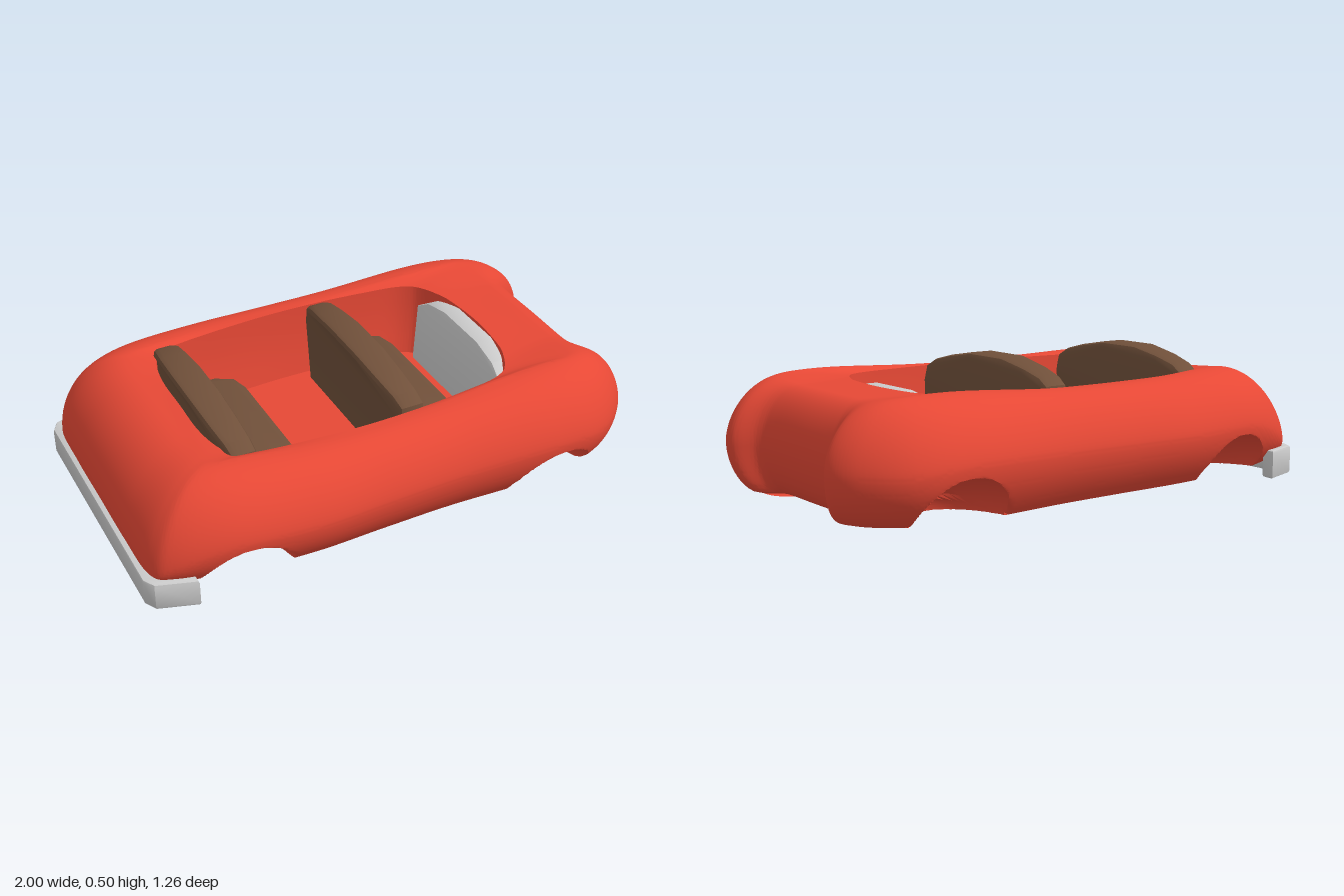
import * as THREE from 'three';
import { toCreasedNormals } from 'three/addons/utils/BufferGeometryUtils.js';

const red = new THREE.MeshStandardMaterial({ color: 0xe64835 });
const brown = new THREE.MeshStandardMaterial({ color: 0x70503a });
const grey = new THREE.MeshStandardMaterial({ color: 0xcccccc });

// Half plan from nose centre to tail centre:
// widest outline [x, z, y], fender crest [x, y, z], cockpit rim [x, z]
const STATIONS = [
  [0.92, 0, 0.2, 0.78, 0.412, 0, 0.59, 0],
  [0.92, 0.2, 0.2, 0.78, 0.412, 0.18, 0.575, 0.18],
  [0.935, 0.27, 0.2, 0.78, 0.415, 0.25, 0.55, 0.26],
  [1.0, 0.35, 0.2, 0.77, 0.428, 0.35, 0.52, 0.315],
  [0.95, 0.47, 0.2, 0.74, 0.435, 0.39, 0.49, 0.345],
  [0.8, 0.585, 0.2, 0.66, 0.44, 0.4, 0.43, 0.37],
  [0.58, 0.622, 0.22, 0.5, 0.438, 0.41, 0.33, 0.385],
  [0.2, 0.612, 0.22, 0.17, 0.42, 0.43, 0.12, 0.405],
  [-0.1, 0.618, 0.22, -0.12, 0.415, 0.44, -0.12, 0.41],
  [-0.4, 0.627, 0.22, -0.38, 0.42, 0.43, -0.36, 0.395],
  [-0.7, 0.6, 0.22, -0.6, 0.43, 0.4, -0.52, 0.375],
  [-0.9, 0.54, 0.16, -0.7, 0.43, 0.38, -0.59, 0.355],
  [-0.97, 0.46, 0.11, -0.72, 0.425, 0.34, -0.63, 0.28],
  [-0.98, 0.25, 0.1, -0.72, 0.415, 0.2, -0.65, 0.16],
  [-0.98, 0, 0.1, -0.72, 0.412, 0, -0.65, 0],
];

// Closed loop through a point of each station, mirrored to the other side
function loop(pick) {
  const half = STATIONS.map((s) => new THREE.Vector3(...pick(s)));
  const other = half.slice(1, -1).reverse().map((p) => new THREE.Vector3(p.x, p.y, -p.z));
  return new THREE.CatmullRomCurve3([...half, ...other], true, 'catmullrom', 0.5);
}

// Push body points inside a wheel well out onto its dome
function carveWells(p) {
  const cz = p.z < 0 ? -0.64 : 0.64;
  for (const [cx, ry] of [[0.6, 0.185], [-0.64, 0.2]]) {
    const d = Math.hypot((p.x - cx) / 0.19, p.y / ry, (p.z - cz) / 0.33);
    if (d < 1) p.set(cx + (p.x - cx) / d, p.y / d, cz + (p.z - cz) / d);
  }
}

function makeBody() {
  const outline = loop((s) => [s[0], s[2], s[1]]);
  const crest = loop((s) => [s[3], s[4], s[5]]);
  const rim = loop((s) => [s[6], 0.415, s[7]]);
  const N = 28 * 22;
  const rings = [];
  const addRings = (count, carve, rule) => {
    for (let i = 0; i <= count; i++) rings.push({ t: i / count, carve, rule });
  };
  const bottomX = (o) => o.x * (o.x > 0 ? 0.9 : 0.95);
  const bottomY = (o) => 0.03 - 0.014 * o.x;
  // Cockpit floor, tub wall, rim to crest, shoulder, lower side, underside
  addRings(1, false, (t, o, c, r) => [r.x * 0.95 * t, 0.12, r.z * 0.93 * t]);
  addRings(4, false, (t, o, c, r) => {
    const k = 1 - (1 - t) ** 2;
    return [r.x * (0.95 + 0.05 * k), 0.12 + (r.y - 0.12) * t, r.z * (0.93 + 0.07 * k)];
  });
  addRings(6, false, (t, o, c, r) => {
    const p = r.clone().lerp(c, t);
    return [p.x, r.y + (c.y - r.y) * Math.sin(t * Math.PI / 2), p.z];
  });
  addRings(20, true, (t, o, c) => {
    const s = Math.sin(t * Math.PI / 2);
    const k = Math.max(0, Math.cos(t * Math.PI / 2)) ** (1 + 0.9 * o.z * o.z);
    return [c.x + (o.x - c.x) * s, o.y + (c.y - o.y) * k, c.z + (o.z - c.z) * s];
  });
  addRings(22, true, (t, o) => {
    const k = 1 - Math.sqrt(1 - t * t);
    return [o.x + (bottomX(o) - o.x) * k, o.y + (bottomY(o) - o.y) * t,
      o.z * (1 - 0.14 * t * t)];
  });
  addRings(32, true, (t, o) => {
    const x = bottomX(o) * (1 - t ** 3);
    return [x, bottomY(o) * (1 - t ** 3) + 0.03 * t ** 3, o.z * 0.86 * (1 - t)];
  });

  const pos = [], idx = [], samples = [];
  for (let j = 0; j < N; j++) {
    samples.push([outline, crest, rim].map((curve) => curve.getPoint(j / N)));
  }
  for (const { t, carve, rule } of rings) {
    for (const s of samples) {
      const p = new THREE.Vector3(...rule(t, ...s));
      if (carve) carveWells(p);
      pos.push(p.x, p.y, p.z);
    }
  }
  for (let i = 0; i < rings.length - 1; i++) {
    if (rings[i + 1].t === 0) continue; // coincident seam between two zones
    for (let j = 0; j < N; j++) {
      const a = i * N + j, c = i * N + (j + 1) % N;
      idx.push(a, c, a + N, c, c + N, a + N);
    }
  }
  const geo = new THREE.BufferGeometry();
  geo.setAttribute('position', new THREE.Float32BufferAttribute(pos, 3));
  geo.setIndex(idx);
  return toCreasedNormals(geo, 0.7);
}

// Bevelled slab from a half outline [u, v], mirrored across u = 0
function slab(half, depth, bevel) {
  const pts = [...half, ...half.slice().reverse().map(([u, v]) => [-u, v])];
  const shape = new THREE.Shape(pts.map(([u, v]) => new THREE.Vector2(u, v)));
  return new THREE.ExtrudeGeometry(shape, {
    depth: depth - 2 * bevel, bevelThickness: bevel, bevelSize: bevel,
    bevelOffset: -bevel, bevelSegments: 2, curveSegments: 1,
  }).translate(0, 0, bevel);
}

// Lay a slab flat: u across the car, v along it, depth upwards
function layFlat(geo, y) {
  return geo.applyMatrix4(new THREE.Matrix4().set(
    0, 1, 0, 0, 0, 0, 1, y, 1, 0, 0, 0, 0, 0, 0, 1));
}

function part(name, geo, material) {
  const mesh = new THREE.Mesh(toCreasedNormals(geo, 0.5), material);
  mesh.name = name;
  return mesh;
}

// Bench seat: arched back, thicker at its foot, and a cushion in front of it
function makeSeat(name, x, width) {
  const seat = new THREE.Group();
  seat.name = name;
  const back = slab([[0.34, 0.11], [0.4, 0.36], [0.39, 0.42], [0.34, 0.448],
    [0.24, 0.472], [0.1, 0.495]], 0.125, 0.02).rotateY(Math.PI / 2);
  const p = back.attributes.position;
  for (let i = 0; i < p.count; i++) {
    const lean = 0.12 * (0.495 - p.getY(i));
    p.setX(i, p.getX(i) + (p.getX(i) < 0.06 ? 0.25 * p.getZ(i) ** 2 : lean));
  }
  const cushion = layFlat(slab([[0.34, 0.12], [0.365, 0.2], [0.36, 0.27], [0.32, 0.34],
    [0.24, 0.36]], 0.14, 0.03), 0.11);
  seat.add(part('seatBack', back, brown));
  seat.add(part('seatCushion', cushion, brown));
  seat.position.x = x;
  seat.scale.z = width;
  return seat;
}

// Slanted dashboard panel under the front of the cockpit rim
function makeDashboard() {
  const geo = slab([[0.28, 0.11], [0.31, 0.34], [0.24, 0.385], [0.12, 0.41]], 0.07, 0.005)
    .rotateY(Math.PI / 2);
  const p = geo.attributes.position;
  for (let i = 0; i < p.count; i++) {
    p.setX(i, p.getX(i) + 0.47 + 0.15 * (p.getY(i) - 0.11));
  }
  return geo;
}

// Wrap-around strip, drawn in plan and raised
function makeBumper() {
  return layFlat(slab([[0.48, -1.0], [0.525, -0.975], [0.572, -0.83], [0.52, -0.83],
    [0.485, -0.93], [0.46, -0.945]], 0.11, 0.01), 0);
}

export function createModel() {
  const car = new THREE.Group();
  car.name = 'convertible';
  car.add(part('body', makeBody(), red));
  car.add(makeSeat('frontSeat', 0, 1));
  car.add(makeSeat('rearSeat', -0.65, 0.96));
  car.add(part('dashboard', makeDashboard(), grey));
  car.add(part('rearBumper', makeBumper(), grey));
  return car;
}
